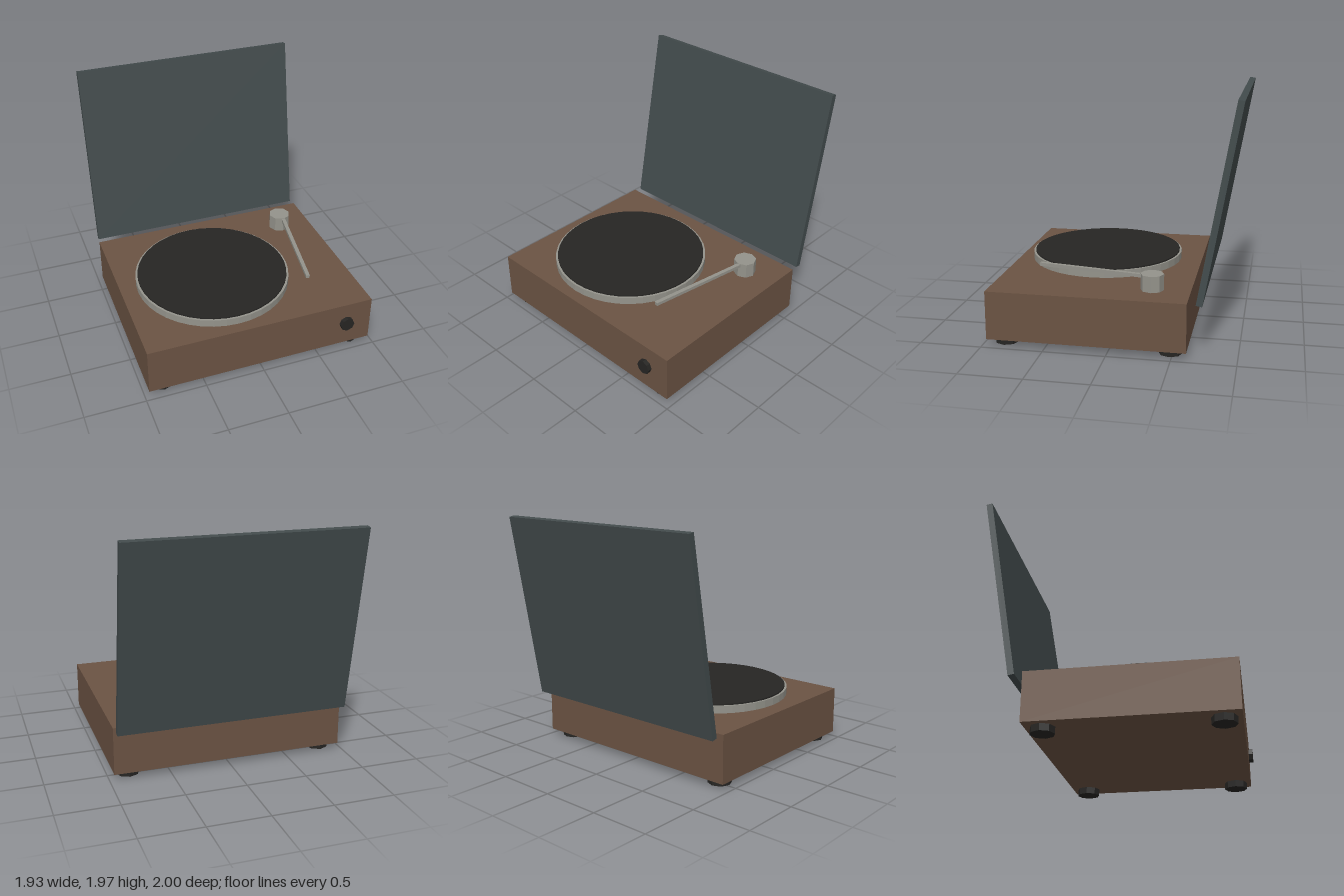
import * as THREE from 'three';

const paint = (color) => new THREE.MeshStandardMaterial({ color, flatShading: true });

export function createModel() {
  const model = new THREE.Group();
  const wood = paint(0x6b5343);
  const black = paint(0x262523);
  const metal = paint(0x94938b);
  const tinted = paint(0x424b4c);

  const add = (name, geometry, material, x, y, z) => {
    const mesh = new THREE.Mesh(geometry, material);
    mesh.name = name;
    mesh.position.set(x, y, z);
    model.add(mesh);
    return mesh;
  };
  const disc = (radius, height, sides) => new THREE.CylinderGeometry(radius, radius, height, sides);

  // Wooden case
  add('plinth', new THREE.BoxGeometry(1.93, 0.395, 1.58), wood, 0, 0.2525, 0.175);

  // Four feet, just under the case corners
  for (const x of [-0.83, 0.83]) {
    for (const z of [0.835, -0.48]) add('foot', disc(0.095, 0.055, 8), black, x, 0.0275, z);
  }

  // Platter with the record on top
  add('platter', disc(0.653, 0.062, 40), metal, -0.175, 0.481, 0.22);
  add('record', disc(0.635, 0.012, 40), black, -0.175, 0.518, 0.22);

  // Tonearm: pivot post and a thin angled bar
  add('tonearmPivot', disc(0.094, 0.13, 8), metal, 0.677, 0.515, -0.31);
  const arm = add('tonearm', new THREE.BoxGeometry(0.032, 0.027, 0.88), metal, 0.607, 0.5615, 0.2);
  arm.rotation.y = -THREE.MathUtils.degToRad(10);

  // Control knob on the front
  const knob = add('knob', disc(0.06, 0.036, 8), black, 0.742, 0.266, 0.982);
  knob.rotation.x = Math.PI / 2;

  // Open dust cover, leaning back
  const lid = add('dustCover', new THREE.BoxGeometry(1.91, 1.56, 0.05), tinted, 0, 1.202, -0.84);
  lid.rotation.x = -THREE.MathUtils.degToRad(10);

  return model;
}
